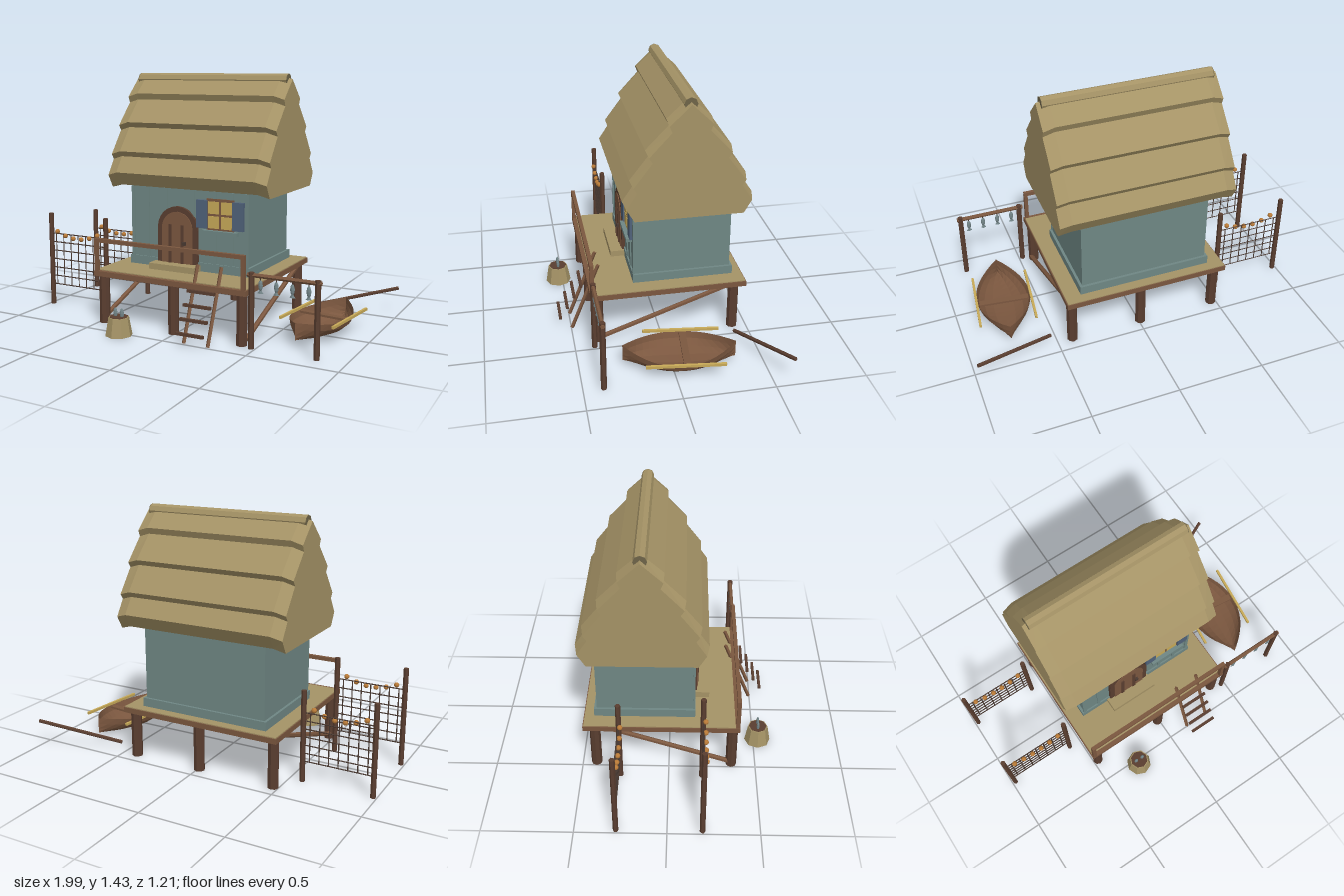
import * as THREE from 'three';

const mat = (name, color, side = THREE.FrontSide) => {
  const m = new THREE.MeshStandardMaterial({ color, side, flatShading: true });
  m.name = name;
  return m;
};

export function createModel() {
  const thatch = mat('thatch', 0xa59366);
  const thatchEnd = mat('dark thatch', 0x6e6448);
  const wall = mat('painted wall', 0x6f8784);
  const wood = mat('wood', 0x7b573f, THREE.DoubleSide);
  const darkWood = mat('dark wood', 0x5a3e30);
  const glow = mat('lit yellow', 0xc8aa58);
  const blue = mat('shutter blue', 0x50627a);
  const orange = mat('float orange', 0xb87a38);
  const fishGrey = mat('fish grey', 0x75878a);
  const rope = mat('rope', 0x4a3a32);

  const model = new THREE.Group();
  model.name = 'stiltHouse';
  const group = (name, parent = model) => {
    const g = new THREE.Group();
    g.name = name;
    parent.add(g);
    return g;
  };
  const add = (name, geo, m, parent = model) => {
    const mesh = new THREE.Mesh(geo, m);
    mesh.name = name;
    parent.add(mesh);
    return mesh;
  };
  // box given by its lower and upper limits
  const box = (name, m, x0, x1, y0, y1, z0, z1, parent) => {
    const b = add(name, new THREE.BoxGeometry(x1 - x0, y1 - y0, z1 - z0), m, parent);
    b.position.set((x0 + x1) / 2, (y0 + y1) / 2, (z0 + z1) / 2);
    return b;
  };
  // round pole between two points
  const pole = (name, m, a, b, r, parent, sides = 6) => {
    const p = new THREE.Vector3(...a), q = new THREE.Vector3(...b);
    const mesh = add(name, new THREE.CylinderGeometry(r, r, p.distanceTo(q), sides), m, parent);
    mesh.position.copy(p).add(q).multiplyScalar(0.5);
    mesh.quaternion.setFromUnitVectors(new THREE.Vector3(0, 1, 0), q.sub(p).normalize());
    return mesh;
  };

  // Deck, stilts and side braces
  box('deckFrame', wood, -0.515, 0.45, 0.28, 0.31, -0.485, 0.4);
  box('deckBoards', thatch, -0.51, 0.445, 0.31, 0.315, -0.48, 0.375);
  box('deckUnderside', darkWood, -0.505, 0.44, 0.276, 0.28, -0.475, 0.39);
  for (const x of [-0.47, -0.01, 0.41])
    for (const z of [0.36, -0.42]) pole('stilt', darkWood, [x, 0, z], [x, 0.28, z], 0.031, model, 8);
  for (const x of [-0.48, 0.43]) pole('brace', wood, [x, 0.03, 0.345], [x, 0.28, -0.36], 0.014);

  // Front railing
  const rail = group('railing');
  box('topRail', wood, -0.51, 0.44, 0.478, 0.5, 0.378, 0.4, rail);
  for (const x of [-0.5, 0.43]) box('railPost', wood, x - 0.011, x + 0.011, 0.31, 0.48, 0.378, 0.4, rail);

  // Walls
  const house = group('house');
  box('walls', wall, -0.41, 0.34, 0.315, 0.79, -0.41, 0.14, house);
  box('backPlinth', wall, -0.425, 0.355, 0.315, 0.365, -0.425, 0.13, house);
  box('plinthRight', wall, -0.425, -0.23, 0.315, 0.365, 0.12, 0.148, house);
  box('plinthLeft', wall, 0.03, 0.355, 0.315, 0.365, 0.12, 0.148, house);
  for (const x of [-0.405, -0.305, -0.185, -0.005, 0.135, 0.24, 0.335])
    box('batten', wall, x - 0.01, x + 0.01, 0.315, 0.78, 0.135, 0.146, house);

  // Stepped thatch, drawn in slightly at both gable ends
  const half = [[0.31, 0.785], [0.355, 0.86], [0.295, 0.95], [0.315, 0.98], [0.21, 1.115],
    [0.23, 1.145], [0.105, 1.275], [0.12, 1.31], [0, 1.42]];
  const outline = [...half, ...half.slice(0, -1).reverse().map(([s, y]) => [-s, y])];
  const roofGeo = new THREE.ExtrudeGeometry(new THREE.Shape(outline.map(p => new THREE.Vector2(...p))),
    { depth: 3, steps: 3, bevelEnabled: false });
  const rp = roofGeo.attributes.position, stations = [-0.54, -0.475, 0.41, 0.475];
  for (let i = 0; i < rp.count; i++) {
    const k = Math.round(rp.getZ(i)), end = k === 0 || k === 3;
    rp.setXYZ(i, stations[k], rp.getY(i) - (end ? 0.02 : 0), -0.14 - rp.getX(i) * (end ? 0.96 : 1));
  }
  roofGeo.computeVertexNormals();
  add('thatchRoof', roofGeo, thatch, house);
  pole('ridgeRoll', thatch, [-0.515, 1.395, -0.14], [0.45, 1.395, -0.14], 0.036, house, 8);
  for (const x of [-0.518, 0.45])
    pole('ridgeEnd', thatchEnd, [x, 1.395, -0.14], [x + 0.003, 1.395, -0.14], 0.036, house, 8);

  // Arched door
  const arch = (r, depth) => {
    const s = new THREE.Shape();
    s.moveTo(-r, 0.345);
    s.lineTo(r, 0.345);
    s.absarc(0, 0.55, r, 0, Math.PI);
    return new THREE.ExtrudeGeometry(s, { depth, bevelEnabled: false, curveSegments: 6 });
  };
  const door = group('door', house);
  add('doorFrame', arch(0.13, 0.02), darkWood, door).position.set(-0.1, 0, 0.138);
  add('doorLeaf', arch(0.1, 0.025), wood, door).position.set(-0.1, 0, 0.138);
  for (const x of [-0.145, -0.065]) box('doorPlank', darkWood, x - 0.009, x + 0.009, 0.35, 0.575, 0.16, 0.168, door);
  box('doorHandle', rope, -0.06, -0.04, 0.46, 0.48, 0.16, 0.178, door);
  box('doorStep', thatch, -0.25, 0.045, 0.315, 0.35, 0.13, 0.23, house);

  // Window with shutters
  const win = group('window', house);
  box('windowFrame', wood, 0.085, 0.255, 0.56, 0.74, 0.138, 0.15, win);
  for (const x of [0.098, 0.178])
    for (const y of [0.572, 0.655]) box('pane', glow, x, x + 0.066, y, y + 0.07, 0.148, 0.153, win);
  for (const x of [0.025, 0.25]) box('shutter', blue, x, x + 0.068, 0.57, 0.73, 0.138, 0.16, win);
  box('sill', wall, 0.065, 0.285, 0.54, 0.562, 0.138, 0.175, win);

  // Ladder
  const ladder = group('ladder');
  for (const x of [0.13, 0.275]) pole('ladderRail', wood, [x, 0.005, 0.495], [x, 0.405, 0.335], 0.011, ladder, 4);
  for (let i = 0; i < 4; i++) {
    const y = 0.08 + i * 0.067, z = 0.56 - i * 0.0415;
    box('rung', darkWood, 0.12, 0.285, y - 0.008, y + 0.008, z - 0.008, z + 0.008, ladder);
  }

  // Net racks with floats
  for (const [z, dy] of [[0.19, 0], [-0.275, -0.05]]) {
    const net = group('netRack');
    for (const x of [-0.98, -0.575]) pole('netPost', darkWood, [x, 0, z], [x, 0.575 + dy, z], 0.015, net);
    for (let i = 0; i < 8; i++) {
      const x = -0.97 + i * 0.055;
      if (i < 7) pole('netVertical', rope, [x + 0.025, 0.13 + dy / 5, z], [x + 0.025, 0.45 + dy, z], 0.0035, net, 4);
      if (i < 7) {
        const y = 0.13 + dy / 5 + i * (0.32 + dy * 0.8) / 6;
        pole('netCord', rope, [-0.98, y, z], [-0.575, y, z], 0.0035, net, 4);
      }
    }
    for (let i = 0; i < 6; i++) {
      const t = i / 2.5 - 1;
      add('float', new THREE.IcosahedronGeometry(0.015, 1), orange, net)
        .position.set(-0.778 + t * 0.148, 0.43 + 0.036 * t * t + dy, z + 0.012);
    }
  }

  // Fish: body with a tail, head up
  const fish = (x, y, z, parent) => {
    const g = group('fish', parent);
    g.position.set(x, y, z);
    add('fishBody', new THREE.SphereGeometry(1, 8, 6), fishGrey, g).scale.set(0.013, 0.03, 0.009);
    const tail = add('fishTail', new THREE.ConeGeometry(0.017, 0.026, 4), fishGrey, g);
    tail.position.y = -0.03;
    tail.scale.z = 0.4;
    return g;
  };

  // Drying rack
  const rack = group('dryingRack');
  for (const x of [0.478, 0.845]) pole('rackPost', darkWood, [x, 0, 0.39], [x, 0.415, 0.39], 0.016, rack);
  pole('rackBar', wood, [0.455, 0.4, 0.39], [0.865, 0.4, 0.39], 0.012, rack);
  for (let i = 0; i < 4; i++) {
    const x = 0.53 + i * 0.089;
    pole('string', rope, [x, 0.36, 0.39], [x, 0.4, 0.39], 0.003, rack, 4);
    fish(x, 0.35, 0.39, rack);
  }

  // Fish bucket
  const bucket = group('bucket');
  bucket.position.set(-0.265, 0, 0.525);
  add('bucketBody', new THREE.CylinderGeometry(0.058, 0.076, 0.105, 8), thatch, bucket).position.y = 0.0525;
  add('bucketInside', new THREE.CylinderGeometry(0.052, 0.052, 0.004, 8), darkWood, bucket).position.y = 0.106;
  for (const x of [-0.021, 0.022]) fish(x, 0.125, 0, bucket);

  // Rowing boat: a sheet bent into a double-ended hull
  const boat = group('boat');
  boat.position.set(0.713, 0, -0.04);
  boat.rotation.y = -0.12;
  const hull = new THREE.PlaneGeometry(2, 2, 8, 16);
  const hp = hull.attributes.position;
  for (let i = 0; i < hp.count; i++) {
    const t = hp.getY(i), a = hp.getX(i) * Math.PI / 2;
    const top = 0.1 + 0.035 * t * t, bottom = 0.008 + 0.032 * t * t;
    const w = 0.158 * (1 - Math.pow(Math.abs(t), 2.1));
    hp.setXYZ(i, w * Math.sin(a), top - (top - bottom) * Math.cos(a), -0.307 * t);
  }
  hull.computeVertexNormals();
  add('hull', hull, wood, boat);
  box('seat', wood, -0.145, 0.145, 0.088, 0.1, -0.05, -0.012, boat);
  for (const x of [-0.16, 0.16]) box('sideStrip', glow, x - 0.007, x + 0.007, 0.1, 0.115, -0.235, 0.19, boat);

  // Loose pole leaning beside the boat
  pole('puntPole', darkWood, [0.535, 0.045, -0.4], [0.992, 0.16, -0.595], 0.011);

  return model;
}
